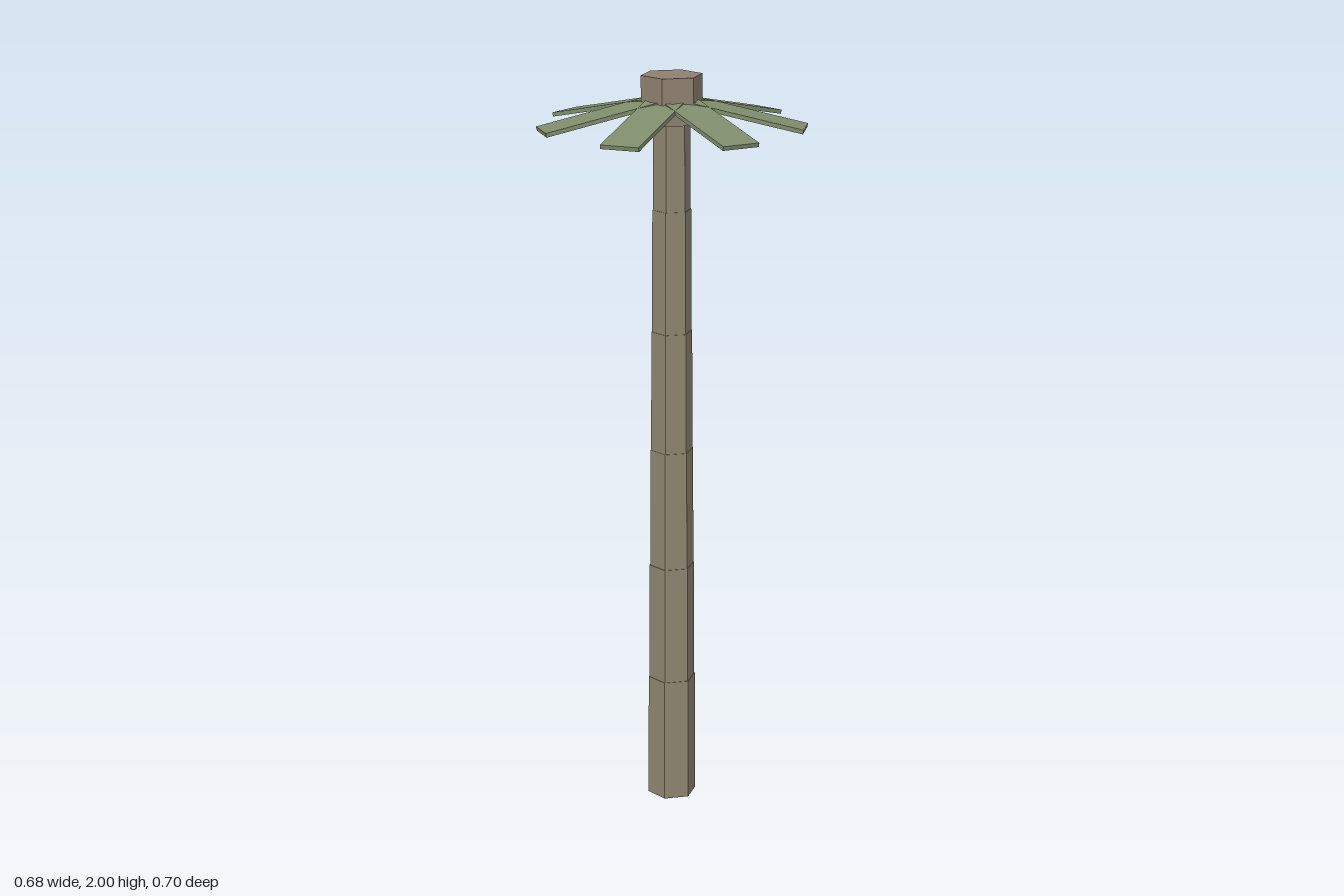
import * as THREE from 'three';

const CENTRE_X = -0.0075;

export function createModel() {
  const bark = new THREE.MeshStandardMaterial({ color: 0x8f8671, flatShading: true });
  bark.name = 'bark';
  const crownWood = new THREE.MeshStandardMaterial({ color: 0x8f8170, flatShading: true });
  crownWood.name = 'crownWood';
  const leaf = new THREE.MeshStandardMaterial({ color: 0x7f8d6c, flatShading: true });
  leaf.name = 'leafGreen';

  const palm = new THREE.Group();
  palm.name = 'palmTree';
  palm.position.x = CENTRE_X;

  const add = (parent, name, geometry, material) => {
    const mesh = new THREE.Mesh(geometry, material);
    mesh.name = name;
    parent.add(mesh);
    return mesh;
  };

  // Trunk: six slightly overlapping hexagonal segments, each a little slimmer
  const trunk = new THREE.Group();
  trunk.name = 'trunk';
  palm.add(trunk);
  const height = 0.345, spacing = 0.326;
  for (let i = 0; i < 6; i++) {
    const radius = 0.0665 - i * 0.0033;
    const segment = add(trunk, `trunkSegment${i + 1}`,
      new THREE.CylinderGeometry(radius - 0.0015, radius, height, 6), bark);
    segment.position.y = i * spacing + height / 2;
  }

  // Crown block on top of the trunk
  const crown = add(palm, 'crown', new THREE.CylinderGeometry(0.081, 0.081, 0.122, 6), crownWood);
  crown.position.y = 1.939;

  // Seven drooping fronds radiating from the crown
  const fronds = new THREE.Group();
  fronds.name = 'fronds';
  fronds.position.y = 1.943;
  palm.add(fronds);
  const droop = 0.21, reach = 0.345;
  const length = reach / Math.cos(droop);
  const frondShape = new THREE.BoxGeometry(length, 0.011, 0.103).translate(length / 2, 0, 0);
  frondShape.rotateZ(-droop);
  for (let i = 0; i < 7; i++) {
    const frond = add(fronds, `frond${i + 1}`, frondShape, leaf);
    frond.rotation.y = (i / 7) * Math.PI * 2;
  }

  const model = new THREE.Group();
  model.name = 'model';
  model.add(palm);
  return model;
}
